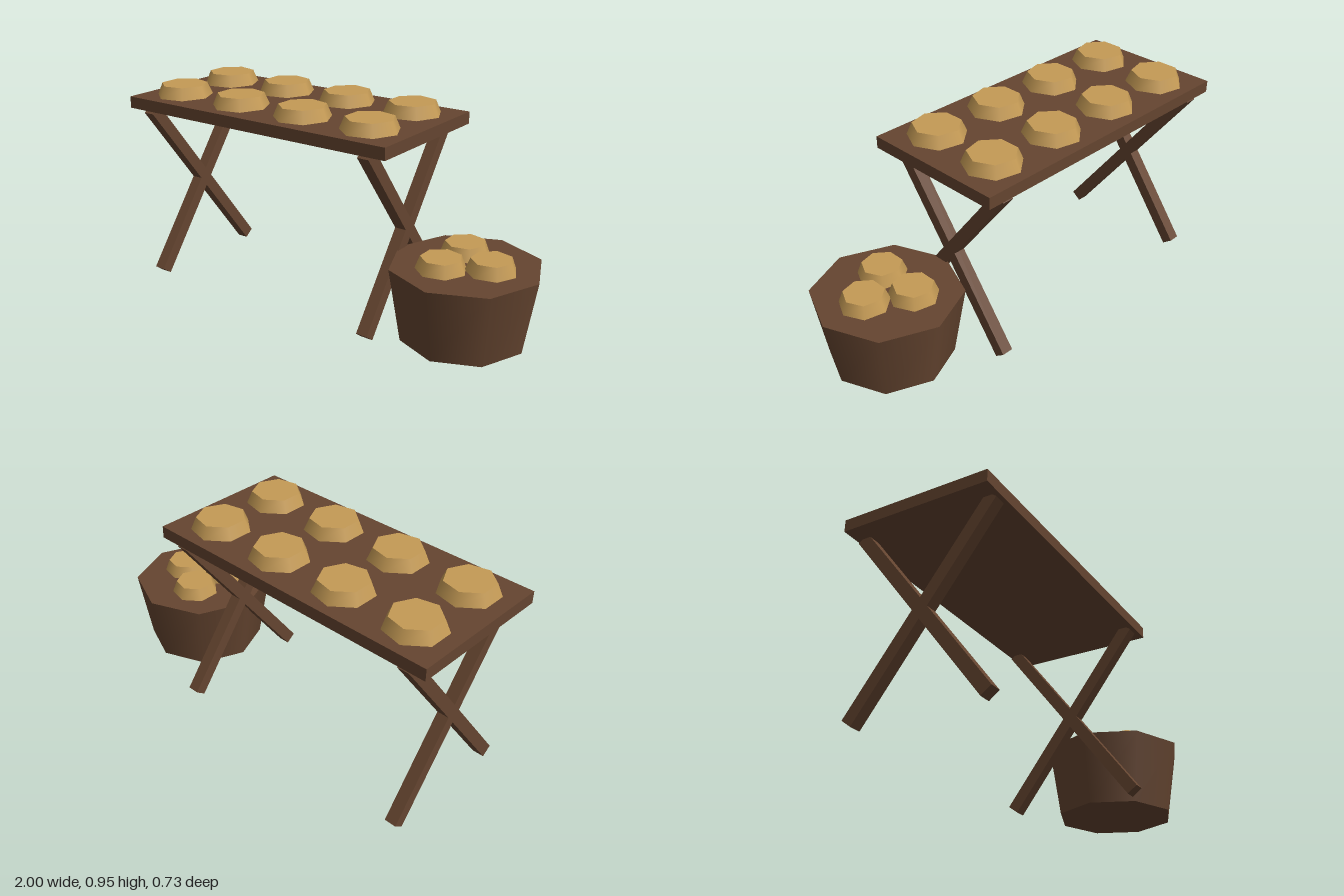
import * as THREE from 'three';

export function createModel() {
  const model = new THREE.Group();
  model.name = 'breadStall';

  const wood = new THREE.MeshStandardMaterial({ color: 0x654530 });
  wood.name = 'dark wood';
  const crust = new THREE.MeshStandardMaterial({ color: 0xc49a55 });
  crust.name = 'bread crust';

  const add = (parent, name, geometry, material, x, y, z) => {
    const mesh = new THREE.Mesh(geometry, material);
    mesh.name = name;
    mesh.position.set(x, y, z);
    parent.add(mesh);
    return mesh;
  };

  const midZ = -0.022;

  // Table: top board and two crossed pairs of legs
  const table = new THREE.Group();
  table.name = 'table';
  model.add(table);
  add(table, 'tableTop', new THREE.BoxGeometry(1.44, 0.055, 0.686), wood, -0.28, 0.8675, midZ);

  const legGeometry = new THREE.BoxGeometry(0.055, 1.033, 0.056);
  const legAngle = Math.atan2(0.622, 0.825);
  for (const x of [-0.892, 0.328]) {
    for (const side of [-1, 1]) {
      const leg = add(table, 'crossedLeg', legGeometry, wood, x, 0.43, midZ);
      leg.rotation.x = side * legAngle;
    }
  }

  // Seven-sided bread loaves, one corner towards +x
  const loaf = (topRadius, radius, height) =>
    new THREE.CylinderGeometry(topRadius, radius, height, 7, 1, false, Math.PI / 2);

  // Two rows of loaves on the table
  const bigLoaf = loaf(0.109, 0.133, 0.056);
  for (let i = 0; i < 4; i++) {
    for (const z of [0.145, -0.19]) {
      add(table, 'tableLoaf', bigLoaf, crust, -0.814 + i * 0.355, 0.923, z);
    }
  }

  // Eight-sided tapered basket beside the table
  const basket = new THREE.Group();
  basket.name = 'basket';
  basket.position.set(0.666, 0, 0.031);
  model.add(basket);
  add(basket, 'basketBody', new THREE.CylinderGeometry(0.333, 0.278, 0.332, 8), wood, 0, 0.186, 0);

  // Three loaves in a ring on the basket
  const smallLoaf = loaf(0.09, 0.111, 0.056);
  for (let i = 0; i < 3; i++) {
    const a = (i * Math.PI * 2) / 3;
    add(basket, 'basketLoaf', smallLoaf, crust, 0.12 * Math.cos(a), 0.38, 0.12 * Math.sin(a));
  }

  return model;
}
